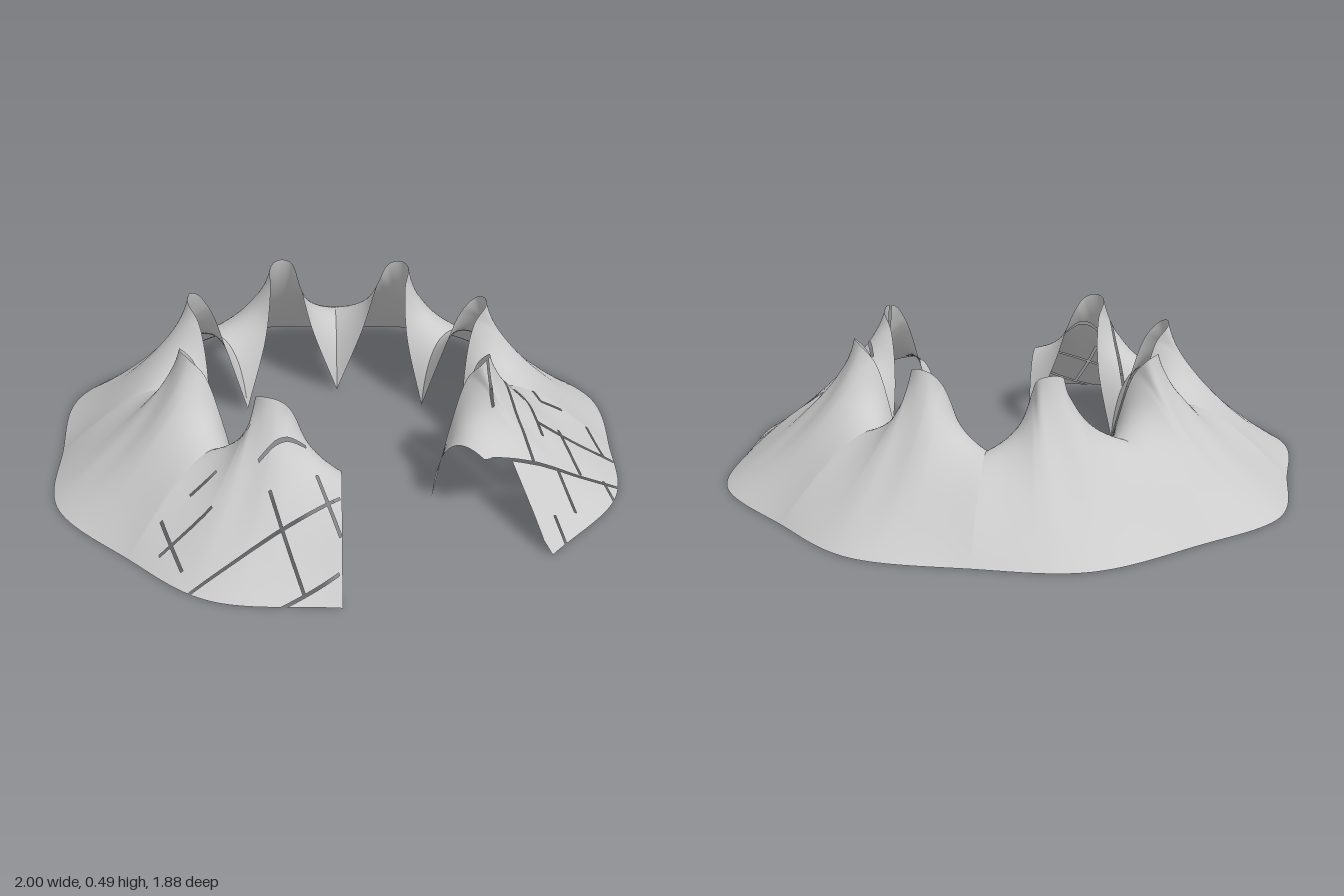
import * as THREE from 'three';

const material = new THREE.MeshStandardMaterial({ color: 0xcccccc, side: THREE.DoubleSide });

// Ground plan as [x, z], from the front left end around the back to the front right end
const feet = [[0.17, 0.46], [0.41, 0.21], [0.41, -0.12], [0.175, -0.35], [-0.18, -0.34], [-0.41, -0.11], [-0.41, 0.23], [-0.16, 0.46]];
const peaks = [[0.36, 0.47], [0.55, 0.07], [0.41, -0.32], [0.015, -0.5], [-0.38, -0.36], [-0.55, 0.03], [-0.41, 0.43]];
const rim = [[0.37, 0.93], [0.73, 0.71], [0.88, 0.42], [1, 0.06], [0.87, -0.32], [0.705, -0.645], [0.36, -0.825], [0.015, -0.94],
  [-0.38, -0.82], [-0.71, -0.665], [-0.88, -0.31], [-1, 0.04], [-0.88, 0.42], [-0.72, 0.74], [-0.36, 0.935]];
const names = ['frontLeftCanopy', 'leftCanopy', 'backLeftCanopy', 'backCanopy', 'backRightCanopy', 'rightCanopy', 'frontRightCanopy'];
const PEAK = 0.49;

const rimCurve = new THREE.CatmullRomCurve3(rim.map(([x, z]) => new THREE.Vector3(x, 0, z)));

// Half of the open inner edge: [share of width, share of inward depth, height]
const edge = [[0.23, 0.1, 0.477], [0.31, 0.42, 0.42], [0.51, 0.74, 0.25], [1, 1, 0]];

// Smooth profile over u in -1..1 from values listed ridge to crease; parity -1 makes it odd
function profile(values, parity = 1) {
  const all = [...values.slice(1).reverse().map(v => v * parity), ...values];
  const curve = new THREE.SplineCurve(all.map((v, i) => new THREE.Vector2(i, v)));
  return u => curve.getPoint((u + 1) / 2).y;
}
const spread = profile([0, 0.2, 0.45, 0.74, 1], -1);
const outerHeight = profile([0.167, 0.175, 0.2, 0.25, 0.31]);
const innerHeight = profile([0.335, 0.37, 0.42, 0.4, 0.35]);
const innerReach = profile([0.067, 0.085, 0.14, 0.14, 0.075]);

// Slits and notches in the two front canopies: [x0, x1, z0, z1]
const SLIT = 0.004;
const slitX = (x, z0, z1) => [x - SLIT, x + SLIT, z0, z1];
const slitZ = (z, x0, x1) => [x0, x1, z - SLIT, z + SLIT];
const cuts = {
  0: [
    [0.15, 0.355, 0.66, 1.1], [0.622, 0.9, 0.82, 1.1],
    slitX(0.44, 0.36, 0.66), slitX(0.44, 0.81, 0.9), slitX(0.53, 0.34, 0.55), slitX(0.53, 0.66, 0.79),
    slitX(0.625, 0.49, 0.65), slitX(0.715, 0.65, 0.74), slitX(0.8, 0.35, 0.51), slitX(0.35, 0.47, 0.53),
    slitX(0.625, 0.28, 0.36), slitZ(0.36, 0.625, 0.71), slitZ(0.51, 0.53, 0.84), slitZ(0.66, 0.28, 0.79)
  ],
  6: [
    slitX(-0.46, 0.25, 0.42), slitX(-0.455, 0.58, 0.86), slitX(-0.76, 0.41, 0.6), slitX(-0.3, 0.59, 0.78),
    slitZ(0.5, -0.8, -0.62), slitZ(0.5, -0.46, -0.3), slitZ(0.68, -0.78, -0.26),
    slitZ(0.86, -0.56, -0.34), slitZ(0.41, -0.66, -0.57)
  ]
};

// Keeps the part of a polygon where sign * (coordinate - limit) >= 0
function clip(poly, axis, limit, sign) {
  const out = [];
  poly.forEach((a, i) => {
    const b = poly[(i + 1) % poly.length];
    const da = sign * (a[axis] - limit), db = sign * (b[axis] - limit);
    if (da >= 0) out.push(a);
    if ((da > 0 && db < 0) || (da < 0 && db > 0)) {
      const t = da / (da - db);
      out.push(a.map((v, k) => v + (b[k] - v) * t));
    }
  });
  return out;
}

// Removes vertical box-shaped cuts, keeping the smooth normals
function cutOut(geometry, boxes) {
  const g = geometry.toNonIndexed();
  const p = g.attributes.position, n = g.attributes.normal;
  const vertex = i => [p.getX(i), p.getY(i), p.getZ(i), n.getX(i), n.getY(i), n.getZ(i)];
  let polys = [];
  for (let i = 0; i < p.count; i += 3) polys.push([vertex(i), vertex(i + 1), vertex(i + 2)]);
  for (const [x0, x1, z0, z1] of boxes) {
    const next = [];
    for (const poly of polys) {
      const all = f => poly.every(f);
      if (all(v => v[0] <= x0) || all(v => v[0] >= x1) || all(v => v[2] <= z0) || all(v => v[2] >= z1)) {
        next.push(poly);
        continue;
      }
      let rest = poly;
      for (const [axis, limit, sign] of [[0, x0, 1], [0, x1, -1], [2, z0, 1], [2, z1, -1]]) {
        const outside = clip(rest, axis, limit, -sign);
        if (outside.length > 2) next.push(outside);
        rest = clip(rest, axis, limit, sign);
        if (rest.length < 3) break;
      }
    }
    polys = next;
  }
  const pos = [], nor = [];
  for (const poly of polys) {
    for (let i = 1; i < poly.length - 1; i++) {
      for (const v of [poly[0], poly[i], poly[i + 1]]) {
        pos.push(v[0], v[1], v[2]);
        nor.push(v[3], v[4], v[5]);
      }
    }
  }
  const result = new THREE.BufferGeometry();
  result.setAttribute('position', new THREE.Float32BufferAttribute(pos, 3));
  result.setAttribute('normal', new THREE.Float32BufferAttribute(nor, 3));
  return result;
}

// One tent-like canopy: curved ribs lofted from the ground rim to the open inner edge
function canopyGeometry(index) {
  const [kx, kz] = peaks[index];
  const [ax, az] = feet[index], [bx, bz] = feet[index + 1];
  const wide = [(bx - ax) / 2, (bz - az) / 2];
  const deep = [(ax + bx) / 2 - kx, (az + bz) / 2 - kz];
  const at = ([w, d, y], s) => new THREE.Vector3(kx + s * w * wide[0] + d * deep[0], y, kz + s * w * wide[1] + d * deep[1]);
  const inner = new THREE.CatmullRomCurve3([
    ...[...edge].reverse().map(e => at(e, -1)),
    new THREE.Vector3(kx, PEAK, kz),
    ...edge.map(e => at(e, 1))
  ]);

  const nu = 64, nv = 28, pos = [], idx = [];
  for (let i = 0; i <= nu; i++) {
    const u = i / nu * 2 - 1;
    const start = rimCurve.getPoint(THREE.MathUtils.clamp((2 * index + 1 + spread(u)) / 14, 0, 1));
    const end = inner.getPoint(i / nu);
    const low = start.clone().lerp(end, 0.6).setY(outerHeight(u));
    const high = end.clone().lerp(start, innerReach(u)).setY(innerHeight(u));
    const rib = new THREE.CubicBezierCurve3(start, low, high, end);
    for (let j = 0; j <= nv; j++) pos.push(...rib.getPoint(j / nv).toArray());
  }
  for (let i = 0; i < nu; i++) {
    for (let j = 0; j < nv; j++) {
      const a = i * (nv + 1) + j, b = a + nv + 1;
      idx.push(a, b, a + 1, b, b + 1, a + 1);
    }
  }
  const g = new THREE.BufferGeometry();
  g.setAttribute('position', new THREE.Float32BufferAttribute(pos, 3));
  g.setIndex(idx);
  g.computeVertexNormals();
  return cuts[index] ? cutOut(g, cuts[index]) : g;
}

export function createModel() {
  const group = new THREE.Group();
  group.name = 'canopyRing';
  names.forEach((name, i) => {
    const mesh = new THREE.Mesh(canopyGeometry(i), material);
    mesh.name = name;
    group.add(mesh);
  });
  return group;
}
